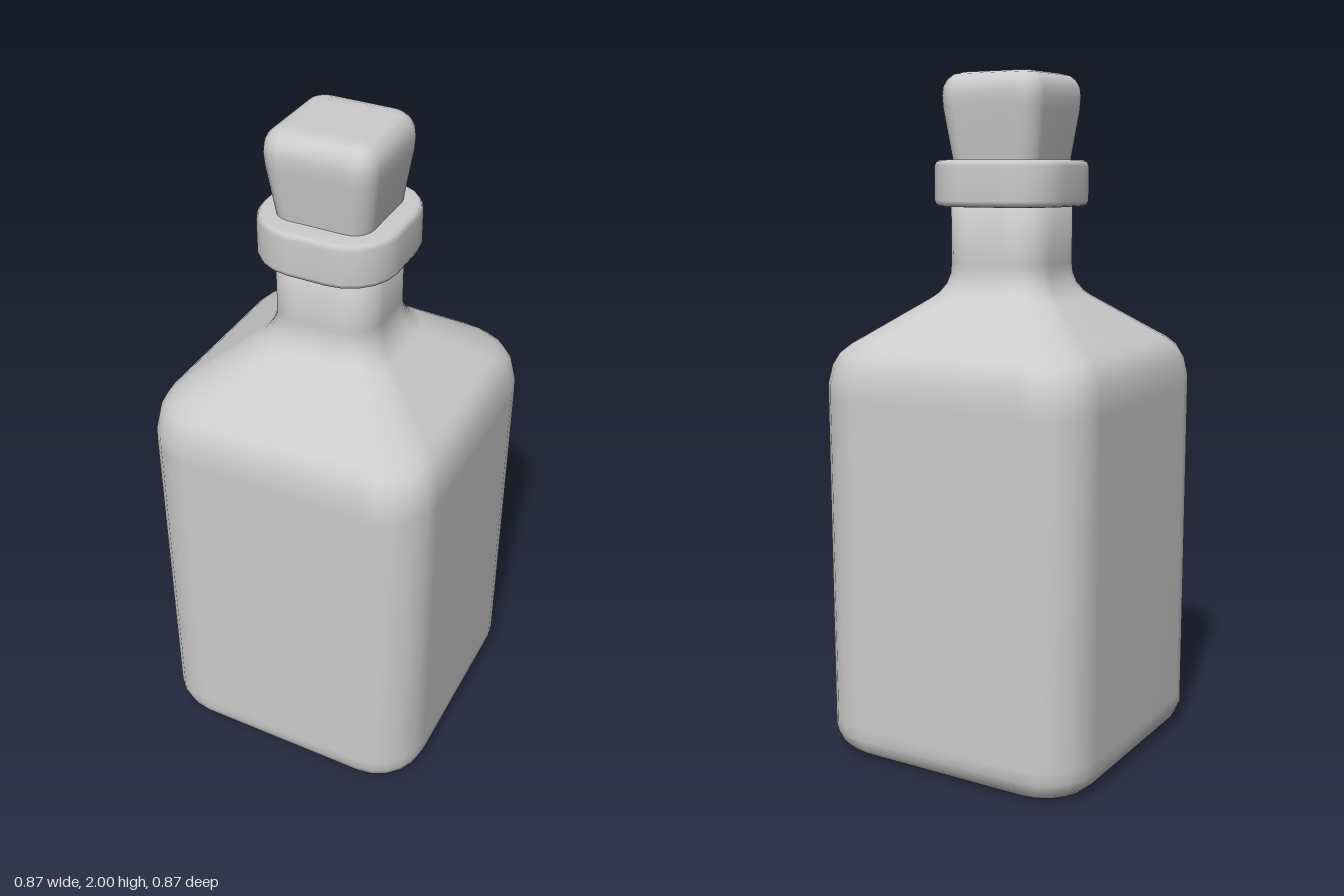
import * as THREE from 'three';

const CORNER_STEPS = 5;

// Outline of a rounded square, counter-clockwise seen from above
function roundedSquare(y, half, radius) {
  const points = [];
  for (let corner = 0; corner < 4; corner++) {
    const start = corner * Math.PI / 2;
    const mid = start + Math.PI / 4;
    const cx = Math.sign(Math.cos(mid)) * (half - radius);
    const cz = -Math.sign(Math.sin(mid)) * (half - radius);
    for (let i = 0; i <= CORNER_STEPS; i++) {
      const a = start + (i / CORNER_STEPS) * Math.PI / 2;
      points.push([cx + radius * Math.cos(a), y, cz - radius * Math.sin(a)]);
    }
  }
  return points;
}

// Smooth closed loft through sections of [y, half width, corner radius]
function loft(name, sections, material) {
  const rings = sections.map(s => roundedSquare(...s));
  const n = rings[0].length;
  const positions = rings.flat(2);
  const index = [];
  for (let r = 0; r < rings.length - 1; r++) {
    for (let j = 0; j < n; j++) {
      const k = (j + 1) % n;
      const a = r * n + j, b = r * n + k;
      index.push(a, b, b + n, a, b + n, a + n);
    }
  }
  // End caps
  const bottom = rings.length * n, top = bottom + 1, last = bottom - n;
  positions.push(0, sections[0][0], 0, 0, sections.at(-1)[0], 0);
  for (let j = 0; j < n; j++) {
    const k = (j + 1) % n;
    index.push(bottom, k, j, top, last + j, last + k);
  }
  const geometry = new THREE.BufferGeometry();
  geometry.setAttribute('position', new THREE.Float32BufferAttribute(positions, 3));
  geometry.setIndex(index);
  geometry.computeVertexNormals();
  const mesh = new THREE.Mesh(geometry, material);
  mesh.name = name;
  return mesh;
}

export function createModel() {
  const group = new THREE.Group();
  group.name = 'bottle';
  const material = new THREE.MeshStandardMaterial({ color: 0xcccccc });

  // Square body, sloping shoulders and neck
  group.add(loft('bottleBody', [
    [0, 0.3, 0.08], [0, 0.37, 0.11], [0.01, 0.4, 0.135], [0.03, 0.421, 0.15],
    [0.065, 0.435, 0.16], [0.1, 0.435, 0.16], [1.08, 0.435, 0.16], [1.12, 0.434, 0.16],
    [1.17, 0.425, 0.16], [1.205, 0.408, 0.155], [1.23, 0.383, 0.15], [1.25, 0.355, 0.145],
    [1.36, 0.203, 0.115], [1.375, 0.186, 0.11], [1.4, 0.169, 0.105], [1.43, 0.159, 0.1],
    [1.46, 0.157, 0.1], [1.65, 0.157, 0.1],
  ], material));

  // Collar around the mouth
  group.add(loft('collar', [
    [1.623, 0.15, 0.1], [1.623, 0.188, 0.13], [1.627, 0.198, 0.14], [1.64, 0.204, 0.145],
    [1.737, 0.204, 0.145], [1.75, 0.198, 0.14], [1.755, 0.188, 0.13], [1.755, 0.12, 0.07],
  ], material));

  // Tapered stopper
  group.add(loft('stopper', [
    [1.7, 0.133, 0.055], [1.75, 0.14, 0.057], [1.9, 0.161, 0.062], [1.935, 0.163, 0.062],
    [1.96, 0.16, 0.06], [1.98, 0.15, 0.053], [1.994, 0.134, 0.042], [2, 0.112, 0.03],
    [2, 0.08, 0.02],
  ], material));

  return group;
}
